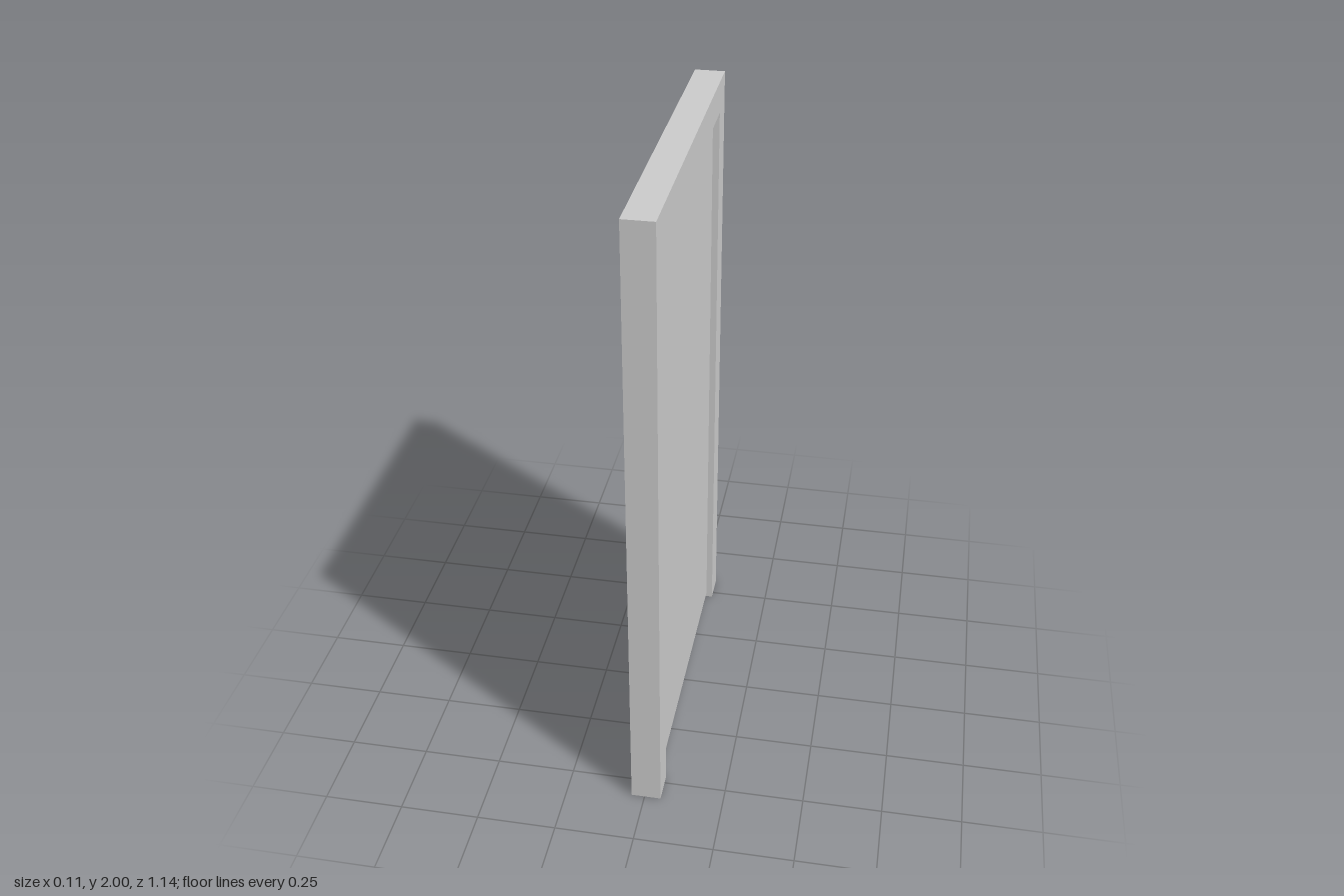
import * as THREE from 'three';

const W = 0.57, H = 2;            // frame half width, height
const OPEN_W = 0.475, OPEN_H = 1.9; // opening half width, height
const X0 = -0.042, X1 = 0.052;    // frame faces
const RECESS = 0.021;             // door set back from both faces

export function createModel() {
  const group = new THREE.Group();
  group.name = 'door';
  const material = new THREE.MeshStandardMaterial({ color: 0xcccccc });
  const add = (name, geometry, x = 0, y = 0, z = 0) => {
    const mesh = new THREE.Mesh(geometry, material);
    mesh.name = name;
    mesh.position.set(x, y, z);
    group.add(mesh);
    return mesh;
  };

  // Frame: upside-down U extruded through the wall thickness
  const outline = new THREE.Shape([
    [-W, 0], [-OPEN_W, 0], [-OPEN_W, OPEN_H], [OPEN_W, OPEN_H],
    [OPEN_W, 0], [W, 0], [W, H], [-W, H],
  ].map(([a, b]) => new THREE.Vector2(a, b)));
  const frame = new THREE.ExtrudeGeometry(outline, { depth: X1 - X0, bevelEnabled: false });
  frame.rotateY(Math.PI / 2);
  add('frame', frame, X0);

  // Door leaf with a small gap above the floor
  const gap = 0.015;
  const leafX0 = X0 + RECESS, leafX1 = X1 - RECESS;
  add('doorLeaf', new THREE.BoxGeometry(leafX1 - leafX0, OPEN_H - gap, OPEN_W * 2),
    (leafX0 + leafX1) / 2, (OPEN_H + gap) / 2, 0);

  // Knob: rose, stem and flattened grip turned around the x axis
  const profile = [[0.012, 0], [0.012, 0.003], [0.007, 0.005], [0.007, 0.014]]
    .map(([r, h]) => new THREE.Vector2(r, h));
  for (let i = 1; i <= 10; i++) {
    const a = -1.1 + (i / 10) * (Math.PI / 2 + 1.1);
    profile.push(new THREE.Vector2(Math.max(0, 0.017 * Math.cos(a)), 0.0245 + 0.0085 * Math.sin(a)));
  }
  const knob = new THREE.LatheGeometry(profile, 24);
  knob.rotateZ(Math.PI / 2);
  add('knob', knob, leafX0, 0.95, 0.33);

  return group;
}
